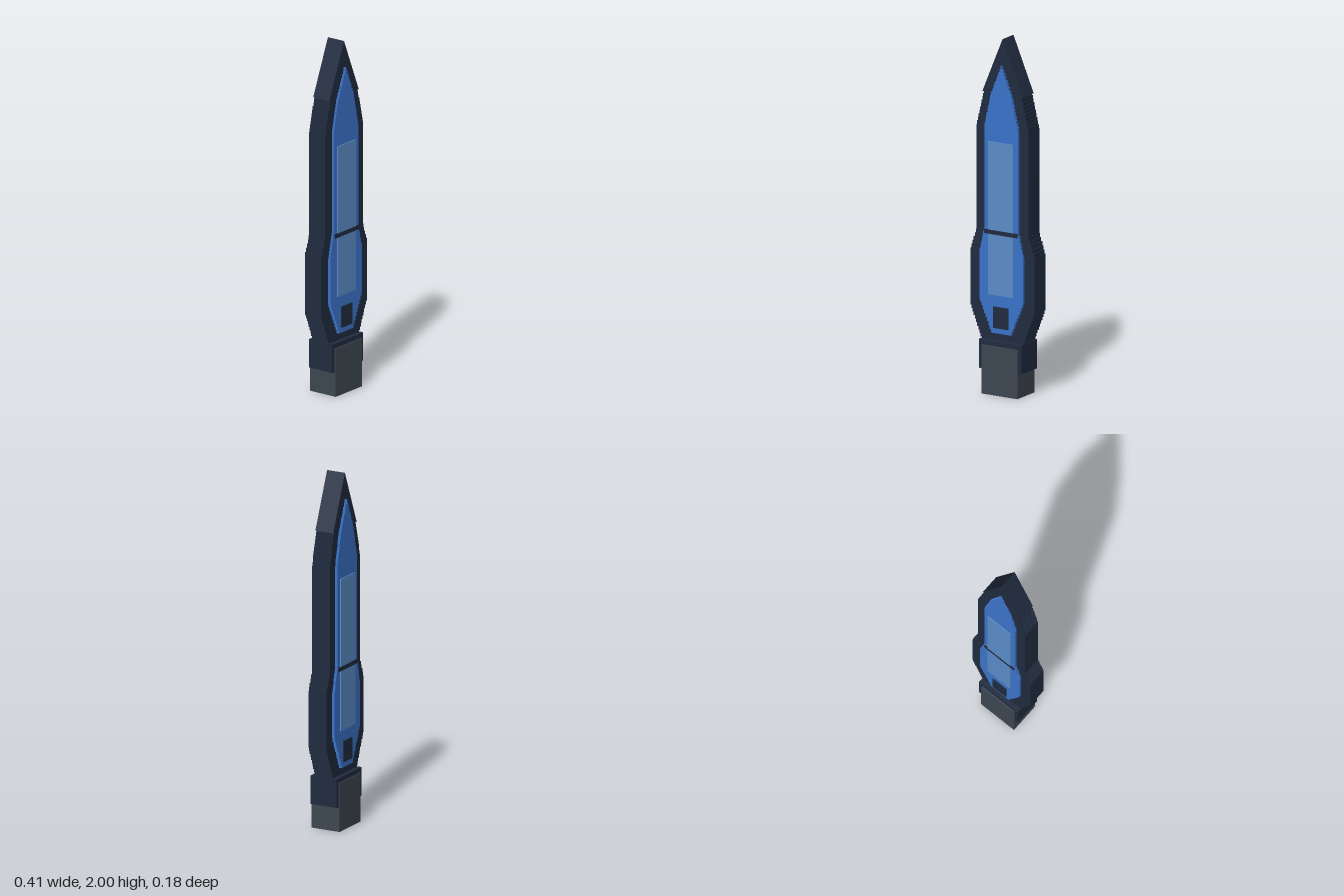
import * as THREE from 'three';

const mat = (name, color) => {
  const m = new THREE.MeshStandardMaterial({ color });
  m.name = name;
  return m;
};

// Mirrored outline whose slopes are cut into small horizontal steps.
// profile: [halfWidth, y] pairs from bottom to top.
function steppedShape(profile, step) {
  const side = [];
  for (let i = 0; i < profile.length - 1; i++) {
    const [w0, y0] = profile[i], [w1, y1] = profile[i + 1];
    const n = w0 === w1 ? 1 : Math.round((y1 - y0) / step);
    for (let k = 0; k < n; k++) {
      const w = w0 + (w1 - w0) * (k + 0.5) / n;
      side.push([w, y0 + (y1 - y0) * k / n], [w, y0 + (y1 - y0) * (k + 1) / n]);
    }
  }
  return mirroredShape(side);
}

function mirroredShape(side) {
  const left = side.map(([w, y]) => new THREE.Vector2(w, y));
  const right = side.filter(([w]) => w > 0).reverse().map(([w, y]) => new THREE.Vector2(-w, y));
  return new THREE.Shape([...left, ...right]);
}

export function createModel() {
  const group = new THREE.Group();
  const navy = mat('dark navy', 0x212c40);
  const blue = mat('blue', 0x3c74cc);
  const paleBlue = mat('pale blue', 0x5c8dc9);
  const grey = mat('slate grey', 0x3d4751);

  const add = (name, geometry, material) => {
    const mesh = new THREE.Mesh(geometry, material);
    mesh.name = name;
    group.add(mesh);
    return mesh;
  };
  // Slab of the given outline, centred on z = 0
  const slab = (name, shape, halfDepth, material) => {
    const g = new THREE.ExtrudeGeometry(shape, { depth: halfDepth * 2, bevelEnabled: false });
    add(name, g.translate(0, 0, -halfDepth), material);
  };
  const box = (name, w, y0, y1, d, material, z = 0) =>
    add(name, new THREE.BoxGeometry(w, y1 - y0, d), material).position.set(0, (y0 + y1) / 2, z);

  // Body and pointed tip
  slab('body', steppedShape([
    [0.13, 0.29], [0.205, 0.48], [0.205, 0.8], [0.167, 0.91], [0.167, 1.5], [0.118, 1.7],
  ], 0.02), 0.055, navy);
  slab('tip', mirroredShape([[0.13, 1.69], [0, 2]]), 0.0555, navy);

  // Raised inlay showing on both faces
  slab('inlay', steppedShape([
    [0.06, 0.345], [0.14, 0.53], [0.14, 0.79], [0.108, 0.93], [0.108, 1.5], [0.068, 1.68], [0, 1.85],
  ], 0.02), 0.07, blue);

  // Thin details on the front and back faces
  for (const s of [1, -1]) {
    const face = s > 0 ? 'front' : 'back';
    box(face + 'Panel', 0.16, 0.56, 1.42, 0.007, paleBlue, s * 0.0725);
    box(face + 'Band', 0.21, 0.9, 0.924, 0.008, navy, s * 0.0725);
    box(face + 'Button', 0.094, 0.375, 0.495, 0.007, navy, s * 0.0725);
  }

  // Collar and plug at the base
  box('collar', 0.274, 0.14, 0.302, 0.161, navy);
  box('plug', 0.232, 0, 0.275, 0.176, grey);
  return group;
}
